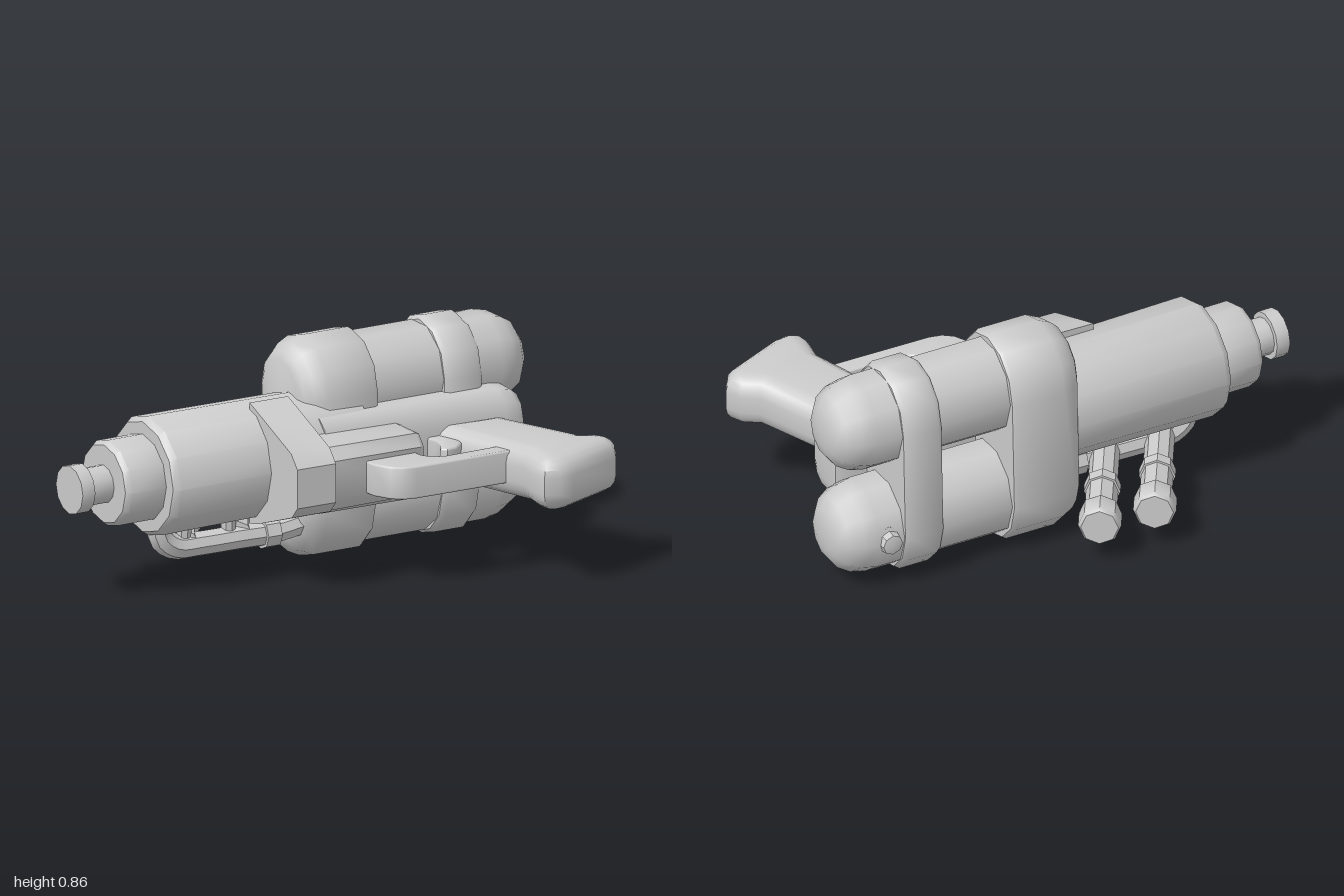
import * as THREE from 'three';
import { toCreasedNormals } from 'three/addons/utils/BufferGeometryUtils.js';

const material = new THREE.MeshStandardMaterial({ color: 0xcccccc });

function add(parent, name, geometry, crease = 0.7) {
  const mesh = new THREE.Mesh(toCreasedNormals(geometry, crease), material);
  mesh.name = name;
  parent.add(mesh);
  return mesh;
}

// Turned profile of [position along axis, radius] pairs, axis along +x
function turned(profile, sides) {
  const points = profile.map(([x, r]) => new THREE.Vector2(r, x));
  return new THREE.LatheGeometry(points, sides).rotateZ(-Math.PI / 2);
}

// Skin between equal-length rings of [y, z] placed at increasing x, closed at both ends
function loft(sections) {
  const n = sections[0].ring.length, last = sections.length - 1;
  const positions = [], index = [];
  for (const { x, ring } of sections) for (const [y, z] of ring) positions.push(x, y, z);
  for (const { x, ring } of [sections[0], sections[last]]) {
    const mid = k => ring.reduce((sum, p) => sum + p[k], 0) / n;
    positions.push(x, mid(0), mid(1));
  }
  const start = n * sections.length;
  for (let j = 0; j < n; j++) {
    const k = (j + 1) % n;
    for (let i = 0; i < last; i++) {
      const a = i * n + j, b = i * n + k;
      index.push(a, b, b + n, a, b + n, a + n);
    }
    index.push(start, k, j, start + 1, last * n + j, last * n + k);
  }
  const geometry = new THREE.BufferGeometry();
  geometry.setAttribute('position', new THREE.Float32BufferAttribute(positions, 3));
  geometry.setIndex(index);
  return geometry;
}

const scaled = (ring, s, cy, cz) => ring.map(([y, z]) => [cy + (y - cy) * s, cz + (z - cz) * s]);

// Outline in [x, z] given thickness from y0 to y1, with rounded rims
function plan(points, y0, y1, bevel, smooth = false) {
  const vectors = points.map(p => new THREE.Vector2(...p));
  const shape = new THREE.Shape();
  if (smooth) shape.setFromPoints(new THREE.SplineCurve([...vectors, vectors[0]]).getPoints(48).slice(0, -1));
  else shape.setFromPoints(vectors);
  return new THREE.ExtrudeGeometry(shape, {
    depth: y1 - y0 - 2 * bevel, bevelThickness: bevel, bevelSize: bevel,
    bevelOffset: -bevel, bevelSegments: 4,
  }).rotateX(Math.PI / 2).translate(0, y1 - bevel, 0);
}

const TANKS = [{ y: 0.215, z: -0.24 }, { y: 0.65, z: -0.225 }];

// Outline that wraps both tanks at radius r
function tankWrap(r) {
  const ring = [];
  for (const [tank, from] of [[TANKS[1], -Math.PI / 2], [TANKS[0], Math.PI / 2]]) {
    for (let i = 0; i <= 6; i++) {
      const a = from + i * Math.PI / 6;
      ring.push([tank.y + r * Math.cos(a), tank.z + r * 0.95 * Math.sin(a)]);
    }
  }
  return ring;
}

export function createModel() {
  const model = new THREE.Group();
  model.name = 'waterBlaster';

  // Barrel with stepped muzzle
  const barrel = add(model, 'barrel', turned([
    [-1, 0], [-1, 0.093], [-0.945, 0.093], [-0.945, 0.072], [-0.85, 0.072], [-0.85, 0.15],
    [-0.83, 0.165], [-0.68, 0.165], [-0.68, 0.212], [-0.655, 0.23], [0.2, 0.22], [0.2, 0],
  ], 12));
  barrel.position.set(0, 0.447, -0.158);
  barrel.rotation.y = 0.035;

  // Receiver
  const bodyRing = [[0.605, -0.14], [0.6, 0], [0.565, 0.04], [0.5, 0.06], [0.32, 0.06], [0.265, 0.04], [0.235, 0], [0.23, -0.14]];
  add(model, 'receiver', loft([[0, 1], [0.77, 1], [0.82, 0.95], [0.85, 0.82], [0.86, 0.6]]
    .map(([x, s]) => ({ x, ring: scaled(bodyRing, s, 0.418, -0.05) }))));

  // Collar around the barrel and the pump housing behind it
  const collarRing = [[0.68, -0.085], [0.655, -0.02], [0.56, 0.22], [0.51, 0.265], [0.36, 0.265], [0.315, 0.225], [0.225, -0.03], [0.215, -0.085]];
  add(model, 'collar', loft([-0.25, -0.085].map(x => ({ x, ring: collarRing }))));
  const pumpRing = [[0.555, -0.02], [0.555, 0.2], [0.51, 0.24], [0.36, 0.24], [0.31, 0.2], [0.31, -0.02]];
  add(model, 'pumpHousing', loft([[-0.1, 1], [0.3, 0.97], [0.32, 0.9]]
    .map(([x, s]) => ({ x, ring: scaled(pumpRing, s, 0.43, 0) }))));

  // Grip, trigger and guard
  add(model, 'grip', plan([
    [0.45, 0], [0.47, 0.07], [0.6, 0.47], [0.585, 0.57], [0.595, 0.63], [0.65, 0.655], [0.71, 0.645],
    [0.96, 0.53], [1, 0.46], [0.97, 0.4], [0.91, 0.36], [0.79, 0.06], [0.77, 0],
  ], 0.307, 0.513, 0.07), 0.9);
  add(model, 'triggerGuard', plan([
    [0.06, 0.2], [0.065, 0.28], [0.1, 0.35], [0.14, 0.38], [0.19, 0.39], [0.62, 0.385], [0.6, 0.31],
    [0.35, 0.32], [0.3, 0.3], [0.28, 0.26], [0.28, 0.2],
  ], 0.365, 0.49, 0.008));
  add(model, 'trigger', plan([
    [0.42, 0.03], [0.44, 0.1], [0.43, 0.15], [0.4, 0.2], [0.42, 0.22], [0.46, 0.215], [0.51, 0.17], [0.54, 0.03],
  ], 0.375, 0.48, 0.01));

  // Twin tanks with their shared sleeve and band
  const tanks = new THREE.Group();
  tanks.name = 'tanks';
  tanks.rotation.y = 0.02;
  model.add(tanks);
  for (const { y, z } of TANKS) {
    const tank = add(tanks, 'tank', turned([
      [0.1, 0], [0.1, 0.185], [0.83, 0.185], [0.89, 0.172], [0.94, 0.142], [0.97, 0.1], [0.98, 0.06], [0.985, 0],
    ], 10), 0.8);
    tank.scale.z = 0.95;
    tank.position.set(0, y, z);
  }
  add(tanks, 'tankSleeve', loft([[-0.035, 0.13], [-0.02, 0.16], [0.01, 0.187], [0.06, 0.21], [0.26, 0.21], [0.275, 0.2]]
    .map(([x, r]) => ({ x, ring: tankWrap(r) }))), 0.8);
  add(tanks, 'tankBand', loft([[0.57, 0.19], [0.59, 0.205], [0.71, 0.205], [0.73, 0.19]]
    .map(([x, r]) => ({ x, ring: tankWrap(r) }))), 0.8);

  // Filler valve on the lower tank
  const valve = add(model, 'valve', turned([[0, 0.06], [0.05, 0.06], [0.055, 0.045], [0.085, 0.04], [0.095, 0]], 8));
  valve.rotation.y = Math.PI / 2;
  valve.position.set(0.78, 0.215, -0.365);

  // Feed pipe under the barrel, with hangers
  const pipe = new THREE.CatmullRomCurve3([
    [-0.61, 0.28], [-0.6, 0.2], [-0.54, 0.155], [-0.44, 0.15], [-0.28, 0.15], [-0.12, 0.15], [0.02, 0.17],
  ].map(([x, y]) => new THREE.Vector3(x, y, -0.14)));
  add(model, 'feedPipe', new THREE.TubeGeometry(pipe, 24, 0.048, 8));
  add(model, 'pipeElbow', turned([[-0.17, 0], [-0.17, 0.06], [-0.11, 0.06], [-0.11, 0]], 8).translate(0, 0.15, -0.14));
  for (const x of [-0.5, -0.31]) {
    add(model, 'pipeHanger', new THREE.CylinderGeometry(0.035, 0.025, 0.14, 8).translate(x, 0.21, -0.14));
  }

  // Two capped side nozzles angled backward
  for (const x of [-0.505, -0.275]) {
    const nozzle = add(model, 'sideNozzle', turned([
      [0, 0], [0, 0.055], [0.26, 0.055], [0.26, 0.068], [0.31, 0.068], [0.31, 0.06], [0.455, 0.06],
      [0.455, 0.074], [0.465, 0.08], [0.55, 0.08], [0.565, 0.07], [0.565, 0],
    ], 8));
    nozzle.rotation.y = Math.PI / 3;
    nozzle.position.set(x, 0.16, -0.13);
  }
  return model;
}
